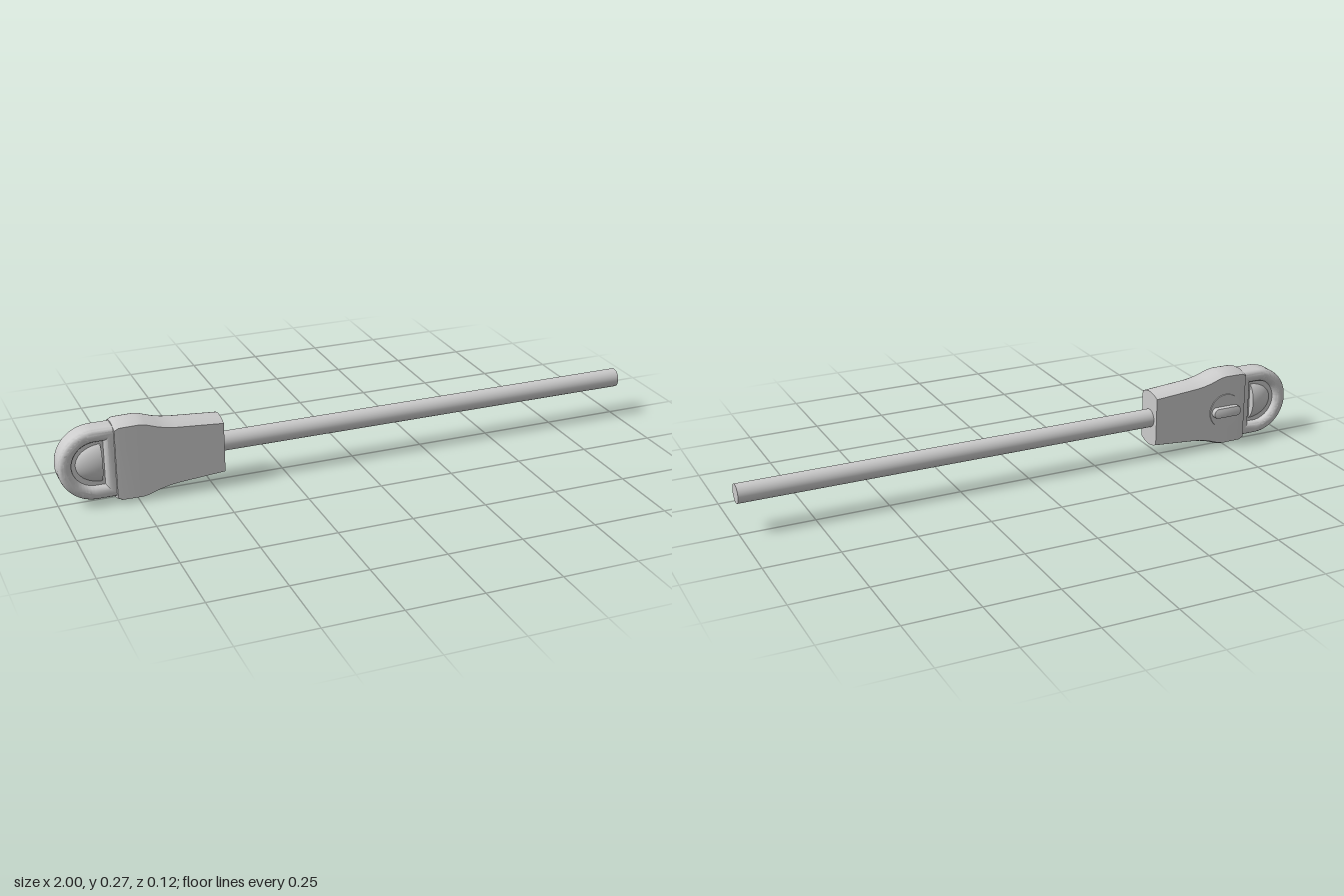
import * as THREE from 'three';
import { toCreasedNormals, mergeVertices } from 'three/addons/utils/BufferGeometryUtils.js';

const CY = 0.137; // height of the long axis
const CZ = 0.009; // depth of the long axis

const material = new THREE.MeshStandardMaterial({ color: 0xcccccc, side: THREE.DoubleSide });

function add(parent, name, geometry, x = 0, y = CY, z = CZ) {
  const mesh = new THREE.Mesh(geometry, material);
  mesh.name = name;
  mesh.position.set(x, y, z);
  parent.add(mesh);
  return mesh;
}

// Outline with a round left end and a straight right end at x = right
function roundEnd(PathType, radius, right) {
  const p = new PathType();
  p.moveTo(right, -radius);
  p.lineTo(right, radius);
  p.lineTo(0, radius);
  p.absarc(0, 0, radius, Math.PI / 2, Math.PI * 1.5, false);
  p.lineTo(right, -radius);
  return p;
}

// Housing lofted from sections with flat sides and crowned top and bottom
function housingGeometry(stations) {
  const pos = [], index = [], N = 10;
  const ring = 2 * (N + 1);
  for (const [x, height, halfDepth] of stations) {
    for (const side of [1, -1]) {
      for (let i = 0; i <= N; i++) {
        const t = (1 - (2 * i) / N) * side;
        pos.push(x, side * (height - 0.013 * t * t), t * halfDepth);
      }
    }
  }
  for (let s = 0; s < stations.length - 1; s++) {
    for (let i = 0; i < ring; i++) {
      const a = s * ring + i, b = s * ring + ((i + 1) % ring);
      index.push(a, a + ring, b, b, a + ring, b + ring);
    }
  }
  const last = (stations.length - 1) * ring;
  for (let i = 1; i < ring - 1; i++) {
    index.push(0, i, i + 1, last, last + i + 1, last + i);
  }
  // turn the faces outward
  for (let i = 0; i < index.length; i += 3) [index[i + 1], index[i + 2]] = [index[i + 2], index[i + 1]];
  const g = new THREE.BufferGeometry();
  g.setAttribute('position', new THREE.Float32BufferAttribute(pos, 3));
  g.setIndex(index);
  orientOutward(g);
  return toCreasedNormals(g, 0.5);
}

// Flip the winding if the enclosed volume is negative
function orientOutward(g) {
  const p = g.attributes.position, ix = g.index.array;
  const [a, b, c] = [0, 1, 2].map(() => new THREE.Vector3());
  let volume = 0;
  for (let i = 0; i < ix.length; i += 3) {
    a.fromBufferAttribute(p, ix[i]);
    b.fromBufferAttribute(p, ix[i + 1]);
    c.fromBufferAttribute(p, ix[i + 2]);
    volume += a.dot(b.cross(c));
  }
  if (volume < 0) {
    for (let i = 0; i < ix.length; i += 3) [ix[i + 1], ix[i + 2]] = [ix[i + 2], ix[i + 1]];
  }
}

function smoothExtrude(shape, options) {
  const g = new THREE.ExtrudeGeometry(shape, { curveSegments: 32, ...options });
  g.deleteAttribute('normal');
  g.deleteAttribute('uv');
  return toCreasedNormals(mergeVertices(g), 0.5);
}

export function createModel() {
  const model = new THREE.Group();
  model.name = 'cableWithEndFitting';

  // Long cable
  const cable = new THREE.CylinderGeometry(0.032, 0.032, 1.5, 32);
  cable.rotateZ(Math.PI / 2);
  add(model, 'cable', cable, 0.25);

  // Tapered housing
  add(model, 'housing', housingGeometry([
    [-0.82, 0.128, 0.049], [-0.805, 0.136, 0.05], [-0.74, 0.137, 0.05],
    [-0.72, 0.134, 0.05], [-0.68, 0.12, 0.05], [-0.65, 0.113, 0.05],
    [-0.62, 0.109, 0.05], [-0.465, 0.097, 0.05],
  ]), 0, CY, 0.01);

  // Rounded head: rim, recessed web and a scooped grip on both faces
  const head = new THREE.Group();
  head.name = 'head';
  model.add(head);
  const rim = roundEnd(THREE.Shape, 0.12, 0.08);
  rim.holes.push(roundEnd(THREE.Path, 0.076, 0.03));
  const rimGeometry = smoothExtrude(rim, {
    depth: 0.044, bevelThickness: 0.018, bevelSize: 0.018, bevelOffset: -0.018, bevelSegments: 4,
  });
  rimGeometry.translate(0, 0, -0.022);
  add(head, 'headRim', rimGeometry, -0.88, 0.14);
  const web = smoothExtrude(roundEnd(THREE.Shape, 0.085, 0.04), { depth: 0.036, bevelEnabled: false });
  web.translate(0, 0, -0.018);
  add(head, 'headWeb', web, -0.88, 0.14);

  const dome = new THREE.SphereGeometry(1, 32, 20, 0, Math.PI * 2, 0, Math.PI / 2);
  dome.rotateZ(Math.PI / 2);
  dome.scale(0.09, 0.07, 0.044);
  add(head, 'headGrip', dome, -0.86, 0.14);
  const domeEnd = new THREE.CircleGeometry(1, 32);
  domeEnd.rotateY(Math.PI / 2);
  domeEnd.scale(1, 0.07, 0.044);
  add(head, 'headGripEnd', domeEnd, -0.86, 0.14);

  // Turn knob on the back: thin disc with a raised bar
  const knob = new THREE.Group();
  knob.name = 'knob';
  knob.position.set(-0.74, 0.135, -0.04);
  model.add(knob);
  const disc = new THREE.CylinderGeometry(0.061, 0.061, 0.008, 40);
  disc.rotateX(Math.PI / 2);
  add(knob, 'knobDisc', disc, 0, 0, 0);
  const bar = new THREE.Shape();
  bar.absarc(-0.036, 0, 0.018, Math.PI / 2, Math.PI * 1.5, false);
  bar.absarc(0.036, 0, 0.018, -Math.PI / 2, Math.PI / 2, false);
  const barGeometry = smoothExtrude(bar, {
    depth: 0.018, bevelThickness: 0.003, bevelSize: 0.003, bevelOffset: -0.003, bevelSegments: 2,
  });
  add(knob, 'knobBar', barGeometry, 0, 0, -0.019);

  return model;
}
